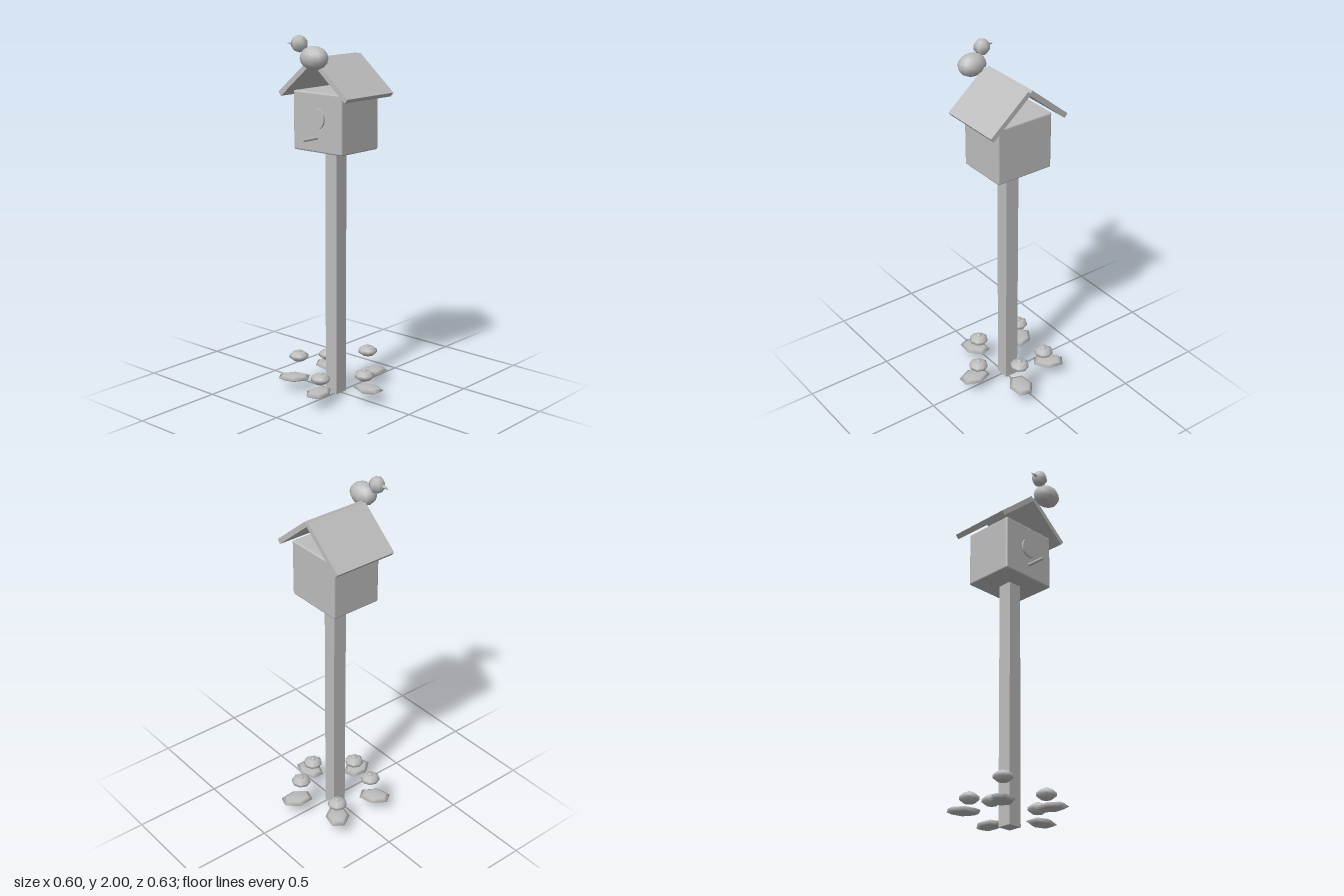
import * as THREE from 'three';
import { RoundedBoxGeometry } from 'three/addons/geometries/RoundedBoxGeometry.js';

const CX = -0.022; // centre line of post and house

export function createModel() {
  const model = new THREE.Group();
  model.name = 'birdhouse';
  const grey = new THREE.MeshStandardMaterial({ color: 0xbcbcbc });
  grey.name = 'plain grey';

  const add = (name, geometry, x, y, z, parent = model) => {
    const mesh = new THREE.Mesh(geometry, grey);
    mesh.name = name;
    mesh.position.set(x, y, z);
    parent.add(mesh);
    return mesh;
  };
  const ball = (rx, ry, rz, sides, rings, turn = 0) =>
    new THREE.SphereGeometry(1, sides, rings).rotateY(turn).scale(rx, ry, rz);

  // Post and house
  add('post', new THREE.BoxGeometry(0.08, 1.39, 0.08), CX, 0.695, 0);
  add('houseBody', new RoundedBoxGeometry(0.342, 0.318, 0.296, 2, 0.01), CX, 1.536, 0);

  // Two roof panels over an open gable
  for (const side of [-1, 1]) {
    const panel = add(side < 0 ? 'rightRoofPanel' : 'leftRoofPanel',
      new THREE.BoxGeometry(0.302, 0.028, 0.37), CX + side * 0.1185, 1.77, 0);
    panel.rotation.z = -side * 0.7;
  }

  // Entrance disc and perch
  add('entrance', new THREE.CylinderGeometry(0.056, 0.056, 0.02, 16).rotateX(Math.PI / 2), CX, 1.558, 0.148);
  add('perch', new THREE.CylinderGeometry(0.009, 0.009, 0.13, 8).rotateX(Math.PI / 2), CX, 1.456, 0.194);

  // Bird on the front of the ridge
  const bird = new THREE.Group();
  bird.name = 'bird';
  model.add(bird);
  add('birdBody', ball(0.082, 0.062, 0.062, 10, 8), 0.036, 1.885, 0.232, bird);
  add('birdHead', ball(0.045, 0.045, 0.045, 6, 5, Math.PI / 2), -0.044, 1.955, 0.255, bird);
  add('beak', new THREE.ConeGeometry(0.013, 0.05, 6).rotateZ(Math.PI / 2), -0.099, 1.955, 0.265, bird);

  // Ring of five flowers, each with a leaf lying outward below it
  const leaf = ball(0.068 * 1.4, 0.018, 0.068, 6, 4, Math.PI / 6);
  const blossom = ball(0.055, 0.03, 0.055, 8, 5);
  const centre = ball(0.018, 0.012, 0.018, 6, 4, Math.PI / 6);
  for (let i = 0; i < 5; i++) {
    const plant = new THREE.Group();
    plant.name = 'plant' + (i + 1);
    plant.position.x = CX;
    plant.rotation.y = i * Math.PI * 2 / 5;
    model.add(plant);
    const y = i % 2 ? 0.2 : 0.143;
    add('leaf', leaf, 0.236, 0.073, 0, plant);
    add('blossom', blossom, 0.208, y, 0, plant).rotation.y = -plant.rotation.y;
    add('blossomCentre', centre, 0.208, y + 0.025, 0, plant).rotation.y = -plant.rotation.y;
  }
  return model;
}
